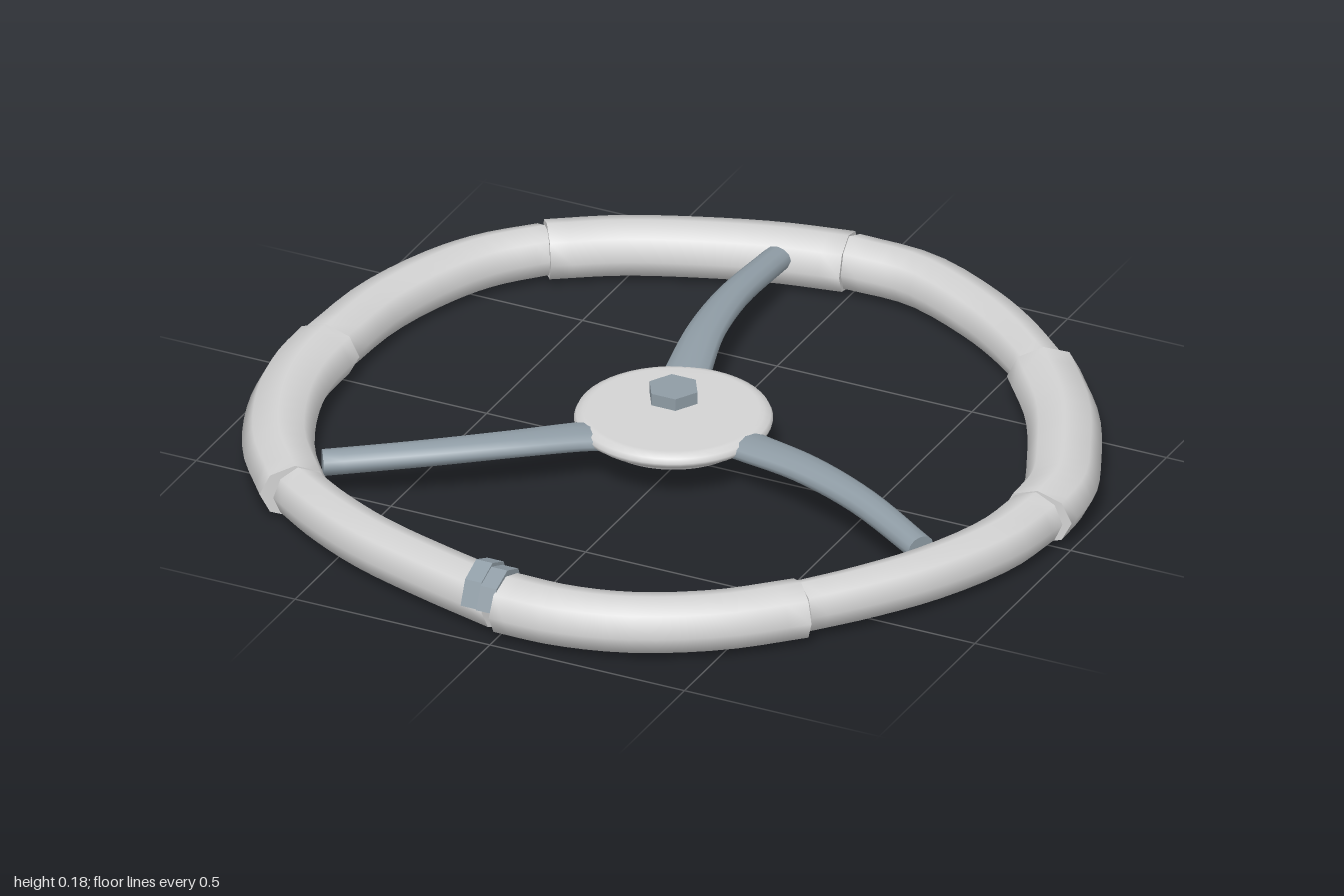
import * as THREE from 'three';

const V = (x, y, z) => new THREE.Vector3(x, y, z);
const UP = V(0, 1, 0);

// Closed tube with an elliptical section swept along a curve; halfW and halfH are functions of t
function sweep(points, halfW, halfH, sides, steps) {
  const curve = new THREE.CatmullRomCurve3(points);
  const pos = [], index = [];
  const ring = (t) => {
    const c = curve.getPoint(t);
    const side = curve.getTangent(t).cross(UP).normalize();
    for (let j = 0; j < sides; j++) {
      const a = (j / sides) * Math.PI * 2;
      const p = c.clone().addScaledVector(side, Math.cos(a) * halfW(t)).addScaledVector(UP, Math.sin(a) * halfH(t));
      pos.push(p.x, p.y, p.z);
    }
  };
  for (let i = 0; i <= steps; i++) ring(i / steps);
  for (let i = 0; i < steps; i++) {
    for (let j = 0; j < sides; j++) {
      const k = (j + 1) % sides;
      const a = i * sides + j, b = i * sides + k;
      index.push(a, a + sides, b, b, a + sides, b + sides);
    }
  }
  // End caps on their own vertices so the edges stay sharp
  for (const t of [0, 1]) {
    const start = pos.length / 3;
    ring(t);
    for (let j = 1; j < sides - 1; j++) {
      if (t === 0) index.push(start, start + j, start + j + 1);
      else index.push(start, start + j + 1, start + j);
    }
  }
  const geo = new THREE.BufferGeometry();
  geo.setAttribute('position', new THREE.Float32BufferAttribute(pos, 3));
  geo.setIndex(index);
  geo.computeVertexNormals();
  return geo;
}

export function createModel() {
  const gripGrey = new THREE.MeshStandardMaterial({ color: 0xd3d3d3 });
  gripGrey.name = 'gripGrey';
  const steelGrey = new THREE.MeshStandardMaterial({ color: 0x8f9ca5 });
  steelGrey.name = 'steelGrey';

  const model = new THREE.Group();
  model.name = 'steeringWheel';
  const add = (parent, name, geo, mat) => {
    const mesh = new THREE.Mesh(geo, mat);
    mesh.name = name;
    parent.add(mesh);
    return mesh;
  };
  const lerp = THREE.MathUtils.lerp;
  const midY = 0.068;

  // Rim: eight slightly mismatched sleeves, each [startWidth, endWidth, x/z path]
  const rim = new THREE.Group();
  rim.name = 'rim';
  model.add(rim);
  const sleeves = [
    [0.083, 0.086, [[-0.67, -0.66], [-0.53, -0.75], [-0.37, -0.82], [-0.19, -0.88], [-0.02, -0.914]]],
    [0.074, 0.064, [[-0.02, -0.918], [0.165, -0.91], [0.36, -0.825], [0.49, -0.74], [0.62, -0.63]]],
    [0.086, 0.086, [[0.62, -0.63], [0.755, -0.455], [0.85, -0.27], [0.905, -0.13], [0.914, 0]]],
    [0.073, 0.064, [[0.911, 0], [0.89, 0.16], [0.81, 0.355], [0.71, 0.51], [0.615, 0.63]]],
    [0.083, 0.086, [[0.62, 0.635], [0.475, 0.77], [0.3, 0.87], [0.14, 0.91], [-0.005, 0.912]]],
    [0.075, 0.066, [[-0.01, 0.91], [-0.21, 0.855], [-0.405, 0.79], [-0.555, 0.715], [-0.67, 0.64]]],
    [0.083, 0.086, [[-0.675, 0.645], [-0.795, 0.485], [-0.875, 0.3], [-0.91, 0.14], [-0.914, 0]]],
    [0.075, 0.066, [[-0.914, 0], [-0.895, -0.235], [-0.835, -0.435], [-0.77, -0.555], [-0.675, -0.66]]],
  ];
  sleeves.forEach(([w0, w1, path], i) => {
    const halfW = (t) => lerp(w0, w1, t);
    const halfH = (t) => 0.042 + 0.3 * halfW(t);
    const points = path.map(([x, z]) => V(x, midY, z));
    add(rim, 'rimSleeve' + (i + 1), sweep(points, halfW, halfH, 8, 14), gripGrey);
  });

  const centre = new THREE.Group();
  centre.name = 'centre';
  centre.position.x = -0.02;
  model.add(centre);

  // Hub: shallow dish with a rounded lip; repeated points keep the flat faces crisp
  const profile = [
    [0, 0.065], [0.18, 0.065], [0.18, 0.065], [0.19, 0.08], [0.215, 0.088],
    [0.228, 0.098], [0.23, 0.106], [0.225, 0.117], [0.21, 0.124], [0.2, 0.125], [0, 0.125],
  ].map(([r, y]) => new THREE.Vector2(r, y));
  add(centre, 'hub', new THREE.LatheGeometry(profile, 48), gripGrey);

  // Hexagonal centre nut
  const nut = add(centre, 'centreNut', new THREE.CylinderGeometry(0.0615, 0.0615, 0.03, 6), steelGrey);
  nut.geometry = nut.geometry.toNonIndexed();
  nut.geometry.computeVertexNormals();
  nut.position.y = 0.17;
  nut.rotation.y = Math.PI / 6;

  // Three curved spokes, tapering from the hub to the rim
  const spokePath = [
    V(-0.06, 0.095, -0.15), V(-0.07, 0.1, -0.21), V(-0.11, 0.108, -0.38),
    V(-0.135, 0.105, -0.58), V(-0.137, 0.09, -0.82),
  ];
  const spokeW = (t) => 0.035 + 0.031 * Math.pow(1 - t, 1.3);
  const spokeGeo = sweep(spokePath, spokeW, (t) => lerp(0.024, 0.03, t), 12, 20);
  for (let k = 0; k < 3; k++) {
    add(centre, 'spoke' + (k + 1), spokeGeo, steelGrey).rotation.y = (-k * Math.PI * 2) / 3;
  }

  // Clamp: two half bands arching over the rim beside the front joint
  const clamp = new THREE.Group();
  clamp.name = 'rimClamp';
  model.add(clamp);
  const band = (name, x, width, rz, ry, z) => {
    const outer = [], inner = [];
    for (let i = 0; i <= 4; i++) {
      const a = (i / 4) * Math.PI;
      outer.push(new THREE.Vector2(Math.cos(a) * rz, Math.sin(a) * ry));
      inner.unshift(new THREE.Vector2(Math.cos(a) * (rz - 0.015), Math.sin(a) * (ry - 0.02)));
    }
    const geo = new THREE.ExtrudeGeometry(new THREE.Shape([...outer, ...inner]), { depth: width, bevelEnabled: false });
    const mesh = add(clamp, name, geo, steelGrey);
    mesh.rotation.y = Math.PI / 2;
    mesh.position.set(x, 0.073, z);
  };
  band('clampOuterBand', -0.085, 0.042, 0.082, 0.082, 0.898);
  band('clampInnerBand', -0.043, 0.041, 0.08, 0.075, 0.904);

  return model;
}
